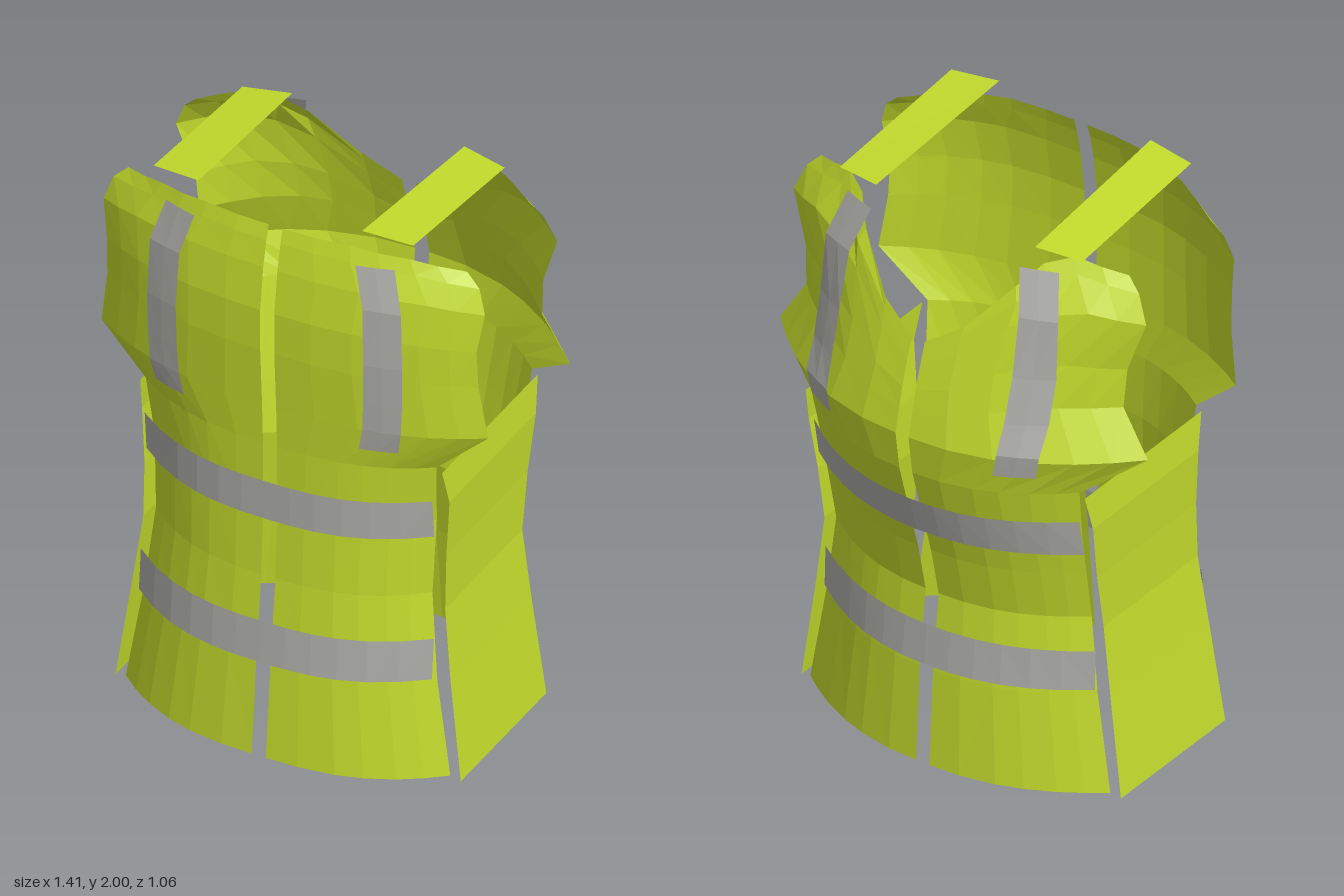
import * as THREE from 'three';

const lime = new THREE.MeshStandardMaterial({ name: 'limeFabric', color: 0xc2db2c, side: THREE.DoubleSide });
const silver = new THREE.MeshStandardMaterial({ name: 'silverTape', color: 0xacaca8, side: THREE.DoubleSide });

const GAP = 0.025; // half of the opening between left and right panels

// Body outline rows: height, half width, z at the centre, z at the outer edge
const front = {
  power: 2.6, offset: 0.012, waistOffset: 0.033,
  rows: [
    [0.01, 0.575, 0.53, 0.34], [0.35, 0.52, 0.5, 0.325], [0.65, 0.49, 0.468, 0.3],
    [0.92, 0.5, 0.455, 0.29], [1.14, 0.515, 0.457, 0.32], [1.29, 0.685, 0.463, 0.295],
    [1.5, 0.655, 0.475, 0.31], [1.65, 0.655, 0.475, 0.318], [1.8, 0.685, 0.455, 0.29],
    [1.89, 0.59, 0.435, 0.275], [1.94, 0.57, 0.42, 0.27],
  ],
  top: [[0, 1.94], [0.42, 1.94], [0.75, 1.92], [1, 1.88]],
};
const back = {
  power: 2.2, offset: -0.012, waistOffset: -0.014,
  rows: [
    [0.01, 0.575, -0.42, -0.22], [0.35, 0.52, -0.4, -0.21], [0.62, 0.49, -0.37, -0.2],
    [0.8, 0.495, -0.41, -0.235], [0.95, 0.5, -0.455, -0.265], [1.14, 0.515, -0.51, -0.3],
    [1.28, 0.705, -0.53, -0.2], [1.45, 0.6, -0.49, -0.195], [1.6, 0.62, -0.44, -0.185],
    [1.79, 0.69, -0.375, -0.165], [1.89, 0.59, -0.32, -0.14], [1.94, 0.57, -0.28, -0.135],
  ],
  top: [[0, 1.59], [0.2, 1.67], [0.4, 1.82], [0.55, 1.9], [0.75, 1.935], [1, 1.89]],
};
const FLARE = 1.285; // rows above this height follow the neckline

// Linear interpolation in a table keyed by its first column
function lookup(table, key, col) {
  let i = 1;
  while (i < table.length - 1 && key > table[i][0]) i++;
  const a = table[i - 1], b = table[i];
  const t = THREE.MathUtils.clamp((key - a[0]) / (b[0] - a[0]), 0, 1);
  return a[col] + (b[col] - a[col]) * t;
}

const halfWidth = (body, y) => lookup(body.rows, y, 1);

function depth(body, u, y) {
  const centre = lookup(body.rows, y, 2), edge = lookup(body.rows, y, 3);
  return centre + (edge - centre) * Math.pow(Math.min(Math.abs(u), 1), body.power);
}

// Faceted sheet from a grid of points
function sheet(name, material, us, vs, point) {
  const positions = [], index = [], n = us.length;
  vs.forEach((v) => us.forEach((u) => positions.push(...point(u, v))));
  for (let j = 0; j < vs.length - 1; j++) {
    for (let i = 0; i < n - 1; i++) {
      const a = j * n + i;
      index.push(a, a + 1, a + n + 1, a, a + n + 1, a + n);
    }
  }
  const indexed = new THREE.BufferGeometry();
  indexed.setAttribute('position', new THREE.Float32BufferAttribute(positions, 3));
  indexed.setIndex(index);
  const geometry = indexed.toNonIndexed();
  geometry.computeVertexNormals();
  const mesh = new THREE.Mesh(geometry, material);
  mesh.name = name;
  return mesh;
}

const steps = (from, to, n) => Array.from({ length: n + 1 }, (_, i) => from + ((to - from) * i) / n);

// Half of the front or back body, ending at the neckline and shoulder
function bodyPanel(name, body, side) {
  const lower = body.rows.map((r) => r[0]).filter((y) => y < 1.3);
  const upper = body.rows.map((r) => r[0]).filter((y) => y > 1.3);
  return sheet(name, lime, [0, 0.2, 0.42, 0.58, 0.75, 0.88, 1], [...lower, ...upper], (u, row) => {
    let y = row;
    if (row > 1.3) y = FLARE + ((row - FLARE) / (1.94 - FLARE)) * (lookup(body.top, u, 1) - FLARE);
    const x = GAP + (halfWidth(body, y) - GAP) * u;
    return [side * x, y, depth(body, u, y)];
  });
}

// Horizontal reflective band
function waistTape(name, body, low, high) {
  return sheet(name, silver, steps(-1, 1, 12), [low, high], (u, y) =>
    [u * (halfWidth(body, (low + high) / 2) + 0.008), y, depth(body, u, y) + body.waistOffset]);
}

// Vertical reflective band over the chest or shoulder blade
const tapePath = [[1.22, 0.37], [1.3, 0.385], [1.4, 0.39], [1.55, 0.392], [1.75, 0.385], [1.89, 0.345]];
function chestTape(name, body, side) {
  return sheet(name, silver, [-0.06, 0, 0.06], tapePath.map((p) => p[0]), (dx, y) => {
    const x = lookup(tapePath, y, 1) + dx;
    const u = (x - GAP) / (halfWidth(body, y) - GAP);
    return [side * x, y, depth(body, u, y) + body.offset];
  });
}

// Flat side panel rows: height, x, front z, back z
const flank = [
  [0, 0.612, 0.34, -0.215], [0.35, 0.565, 0.32, -0.205], [0.6, 0.535, 0.3, -0.2],
  [0.8, 0.535, 0.292, -0.235], [1, 0.545, 0.29, -0.27], [1.125, 0.535, 0.32, -0.3],
];
function sidePanel(name, side) {
  return sheet(name, lime, [0, 1], flank.map((r) => r[0]), (u, y) => {
    const zf = lookup(flank, y, 2), zb = lookup(flank, y, 3);
    return [side * lookup(flank, y, 1), y, zf + (zb - zf) * u];
  });
}

// Shoulder strap, a slightly twisted flat strip
function strap(name, side) {
  const corners = [[[0.29, 2, 0.39], [0.46, 1.988, 0.37]], [[0.305, 1.942, -0.245], [0.465, 1.932, -0.215]]];
  return sheet(name, lime, [0, 1], [0, 1], (u, v) => {
    const [x, y, z] = corners[v][u];
    return [side * x, y, z];
  });
}

export function createModel() {
  const vest = new THREE.Group();
  vest.name = 'safetyVest';
  for (const [label, side] of [['left', 1], ['right', -1]]) {
    vest.add(
      bodyPanel(label + 'FrontPanel', front, side),
      bodyPanel(label + 'BackPanel', back, side),
      sidePanel(label + 'SidePanel', side),
      strap(label + 'ShoulderStrap', side),
      chestTape(label + 'FrontTape', front, side),
      chestTape(label + 'BackTape', back, side),
    );
  }
  vest.add(
    waistTape('upperFrontBand', front, 0.88, 1.02),
    waistTape('lowerFrontBand', front, 0.365, 0.51),
    waistTape('upperBackBand', back, 0.89, 1.025),
    waistTape('lowerBackBand', back, 0.37, 0.51),
  );
  return vest;
}
